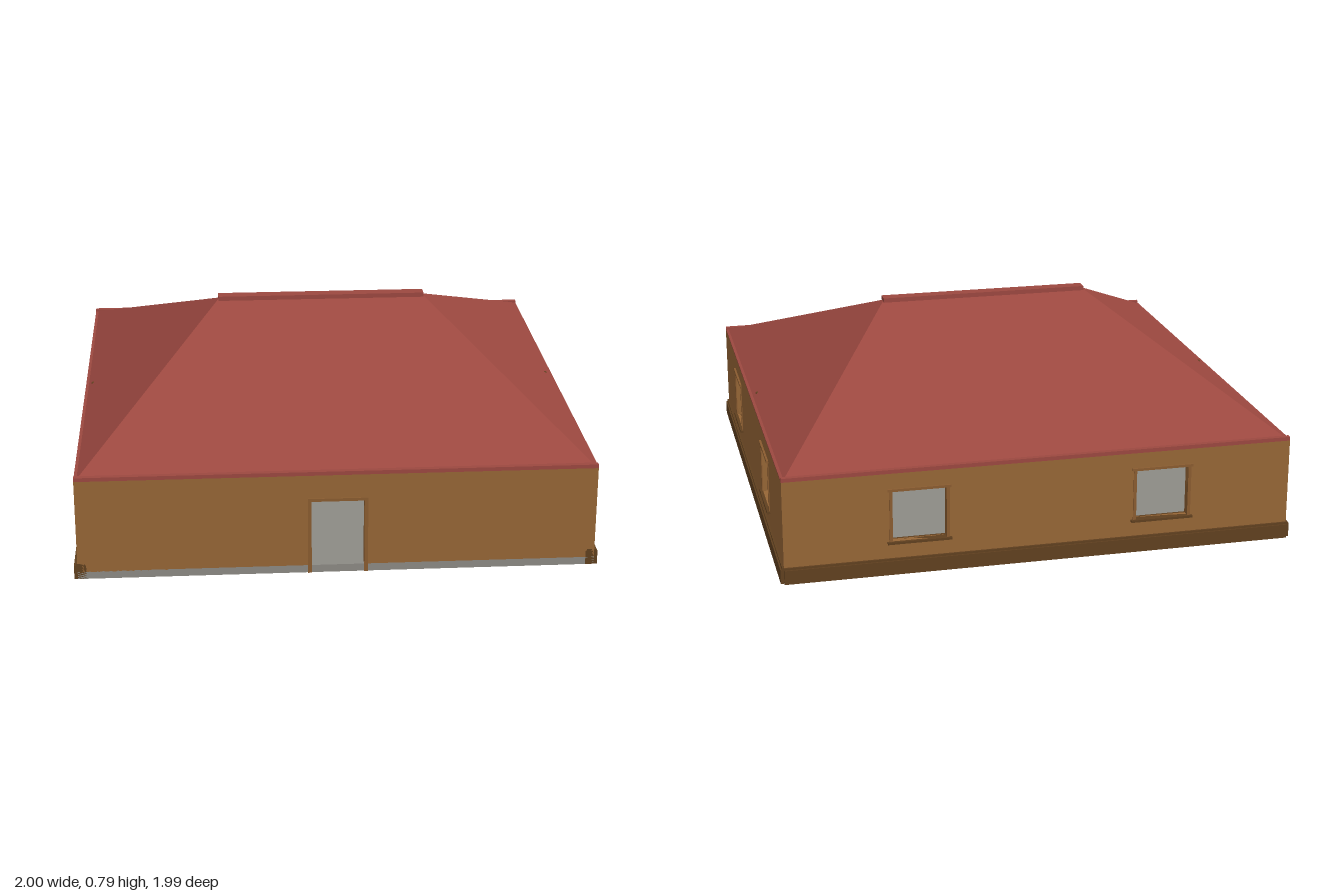
import * as THREE from 'three';

const paint = (color, side = THREE.FrontSide) =>
  new THREE.MeshStandardMaterial({ color, side, flatShading: true });

export function createModel() {
  const house = new THREE.Group();
  house.name = 'house';
  const wallMat = paint(0x966636), trimMat = paint(0x60401f), frameMat = paint(0x8a5c30);
  const roofMat = paint(0x9c4840, THREE.DoubleSide), stoneMat = paint(0x8c8a84);
  const woodMat = paint(0xa06a40), slateMat = paint(0x5c6770);

  // Box given by its minimum and maximum corners
  function box(name, mat, x0, x1, y0, y1, z0, z1, parent = house) {
    const mesh = new THREE.Mesh(new THREE.BoxGeometry(x1 - x0, y1 - y0, z1 - z0), mat);
    mesh.position.set((x0 + x1) / 2, (y0 + y1) / 2, (z0 + z1) / 2);
    mesh.name = name;
    parent.add(mesh);
    return mesh;
  }

  const W = 0.985, T = 0.025, H = 0.4;

  // Floor slab
  box('floor', stoneMat, -W, W, 0, 0.03, -W, W);

  // Wall in its own frame: outside faces +z, outer face at z = W
  function wall(name, angle, halfWidth, openings, plinth) {
    const group = new THREE.Group();
    group.name = name;
    group.rotation.y = angle;
    const shape = new THREE.Shape();
    shape.moveTo(-halfWidth, 0.028).lineTo(halfWidth, 0.028).lineTo(halfWidth, H).lineTo(-halfWidth, H);
    shape.closePath();
    for (const [a, b, c, d] of openings) {
      const hole = new THREE.Path();
      hole.moveTo(a, c).lineTo(a, d).lineTo(b, d).lineTo(b, c);
      hole.closePath();
      shape.holes.push(hole);
    }
    const geo = new THREE.ExtrudeGeometry(shape, { depth: T, bevelEnabled: false });
    geo.translate(0, 0, W - T);
    const panel = new THREE.Mesh(geo, wallMat);
    panel.name = 'wallPanel';
    group.add(panel);
    if (plinth) {
      box('plinth', trimMat, -W, W, 0, 0.055, W - T - 0.008, 0.998, group);
      box('plinthCap', trimMat, -W, W, 0.055, 0.063, W - T - 0.004, 0.992, group);
    }
    house.add(group);
    return group;
  }

  // Windows with jambs, lintel and projecting sill
  const windows = [[-0.575, -0.37, 0.13, 0.33], [0.37, 0.575, 0.13, 0.33]];
  for (const [name, angle, half] of [
    ['leftWall', Math.PI / 2, W], ['rightWall', -Math.PI / 2, W], ['backWall', Math.PI, W - T]]) {
    const side = wall(name, angle, half, windows, true);
    for (const [a, b, c, d] of windows) {
      for (const x of [a - 0.012, b]) box('windowJamb', frameMat, x, x + 0.012, c, d, W - T - 0.004, 0.989, side);
      box('windowLintel', frameMat, a - 0.018, b + 0.018, d, d + 0.01, W - T - 0.004, 0.993, side);
      box('windowSill', trimMat, a - 0.02, b + 0.02, c - 0.009, c, W - T - 0.01, 0.997, side);
    }
  }

  // Front wall with doorway
  const front = wall('frontWall', 0, W - T, [[-0.1, 0.1, 0.029, 0.295]], false);
  for (const s of [-1, 1]) {
    const x = s * 0.107;
    box('doorJamb', frameMat, x - 0.007, x + 0.007, 0.0, 0.295, W - T - 0.004, 0.99, front);
  }
  box('doorLintel', frameMat, -0.114, 0.114, 0.295, 0.307, W - T - 0.004, 0.99, front);

  // Hipped roof: two trapezoid slopes and two triangular ends
  const e = 0.975, ey = 0.405, r = 0.42, ry = 0.782;
  const A = [-e, ey, e], B = [e, ey, e], C = [e, ey, -e], D = [-e, ey, -e];
  const L = [-r, ry, 0], R = [r, ry, 0];
  const roofGeo = new THREE.BufferGeometry();
  roofGeo.setAttribute('position', new THREE.Float32BufferAttribute(
    [A, B, R, A, R, L, C, D, L, C, L, R, B, C, R, D, A, L].flat(), 3));
  roofGeo.computeVertexNormals();
  const roof = new THREE.Mesh(roofGeo, roofMat);
  roof.name = 'roof';
  house.add(roof);
  box('ridgeCap', roofMat, -r - 0.005, r + 0.005, 0.775, 0.793, -0.025, 0.025);

  // Eaves and the small studs on the side slopes
  for (const s of [-1, 1]) {
    const c = s * 0.975;
    box('longEave', roofMat, -W, W, H, 0.415, c - 0.01, c + 0.01);
    box('sideEave', roofMat, c - 0.01, c + 0.01, H, 0.406, -0.965, 0.965);
    const stud = new THREE.Mesh(new THREE.SphereGeometry(0.007, 10, 8), trimMat);
    stud.name = 'roofStud';
    stud.position.set(s * 0.955, 0.416, 0);
    house.add(stud);
  }

  // Chest with two knobs
  box('chestBody', woodMat, -0.3, -0.14, 0.03, 0.165, -0.555, -0.415);
  box('chestTop', frameMat, -0.305, -0.135, 0.165, 0.172, -0.56, -0.41);
  for (const y of [0.09, 0.155]) {
    const knob = new THREE.Mesh(new THREE.SphereGeometry(0.006, 10, 8), trimMat);
    knob.name = 'chestKnob';
    knob.position.set(-0.137, y, -0.487);
    house.add(knob);
  }

  // Low table
  box('tableTop', frameMat, -0.3, -0.035, 0.118, 0.126, -0.3, -0.08);
  box('tableApron', woodMat, -0.29, -0.045, 0.07, 0.118, -0.29, -0.09);
  for (const x of [-0.28, -0.055]) for (const z of [-0.28, -0.1])
    box('tableLeg', woodMat, x - 0.01, x + 0.01, 0.03, 0.07, z - 0.01, z + 0.01);

  // Counter by the side wall with a small stove block
  box('counter', woodMat, -0.94, -0.76, 0.03, 0.158, 0.36, 0.64);
  box('counterTop', frameMat, -0.945, -0.755, 0.158, 0.166, 0.355, 0.645);
  box('stoveBlock', slateMat, -0.9, -0.8, 0.166, 0.195, 0.36, 0.415);

  return house;
}
